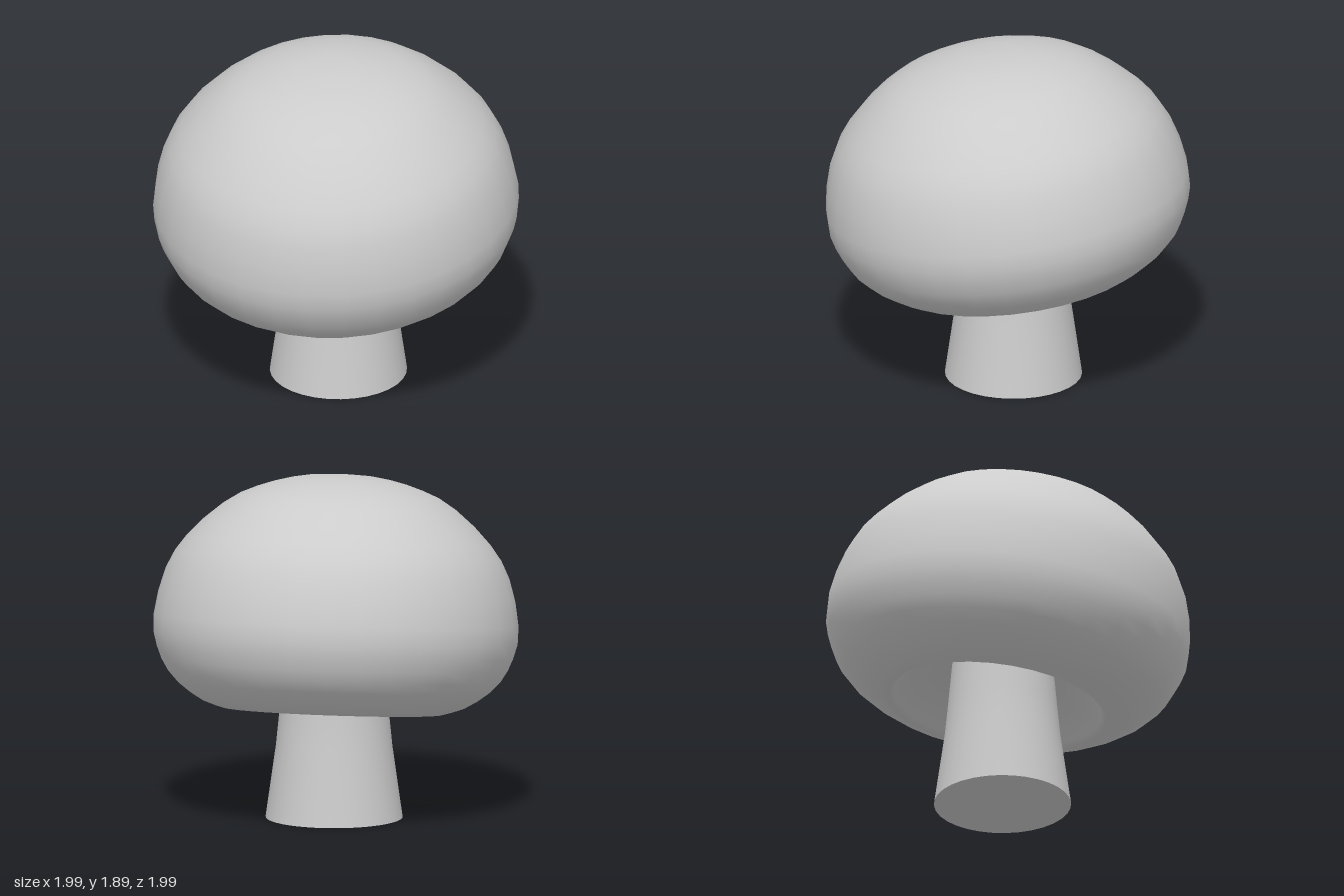
import * as THREE from 'three';

const v = (x, y) => new THREE.Vector2(x, y);

export function createModel() {
  const group = new THREE.Group();
  const material = new THREE.MeshStandardMaterial({ color: 0xcccccc });

  // Cap: hollow underside, then a rounded rim and dome; heights are relative to the widest ring
  const hollow = [v(0, -0.24), v(0.26, -0.26), v(0.48, -0.37), v(0.57, -0.45)];
  const dome = new THREE.SplineCurve([
    v(0.6, -0.475), v(0.73, -0.43), v(0.88, -0.32), v(0.965, -0.18), v(1, 0),
    v(0.94, 0.28), v(0.815, 0.48), v(0.6, 0.67), v(0.4, 0.76), v(0.2, 0.808), v(0, 0.82),
  ]).getPoints(22);
  dome[dome.length - 1].x = 0;
  const cap = new THREE.Mesh(new THREE.LatheGeometry([...hollow, ...dome], 32), material);
  cap.name = 'cap';
  cap.position.y = 1.06;
  cap.rotation.set(0.095, 0, 0.095);
  group.add(cap);

  // Stem: tapered, running up into the hollow of the cap
  const stem = new THREE.Group();
  stem.name = 'stem';
  stem.position.set(0.025, 0, -0.023);
  const side = new THREE.Mesh(
    new THREE.LatheGeometry([v(0.375, 0), v(0.318, 0.4), v(0.3, 0.58), v(0.27, 0.9)], 32), material);
  side.name = 'stemSide';
  const base = new THREE.Mesh(new THREE.CircleGeometry(0.375, 32), material);
  base.name = 'stemBase';
  base.rotation.x = Math.PI / 2;
  stem.add(side, base);
  group.add(stem);

  return group;
}
